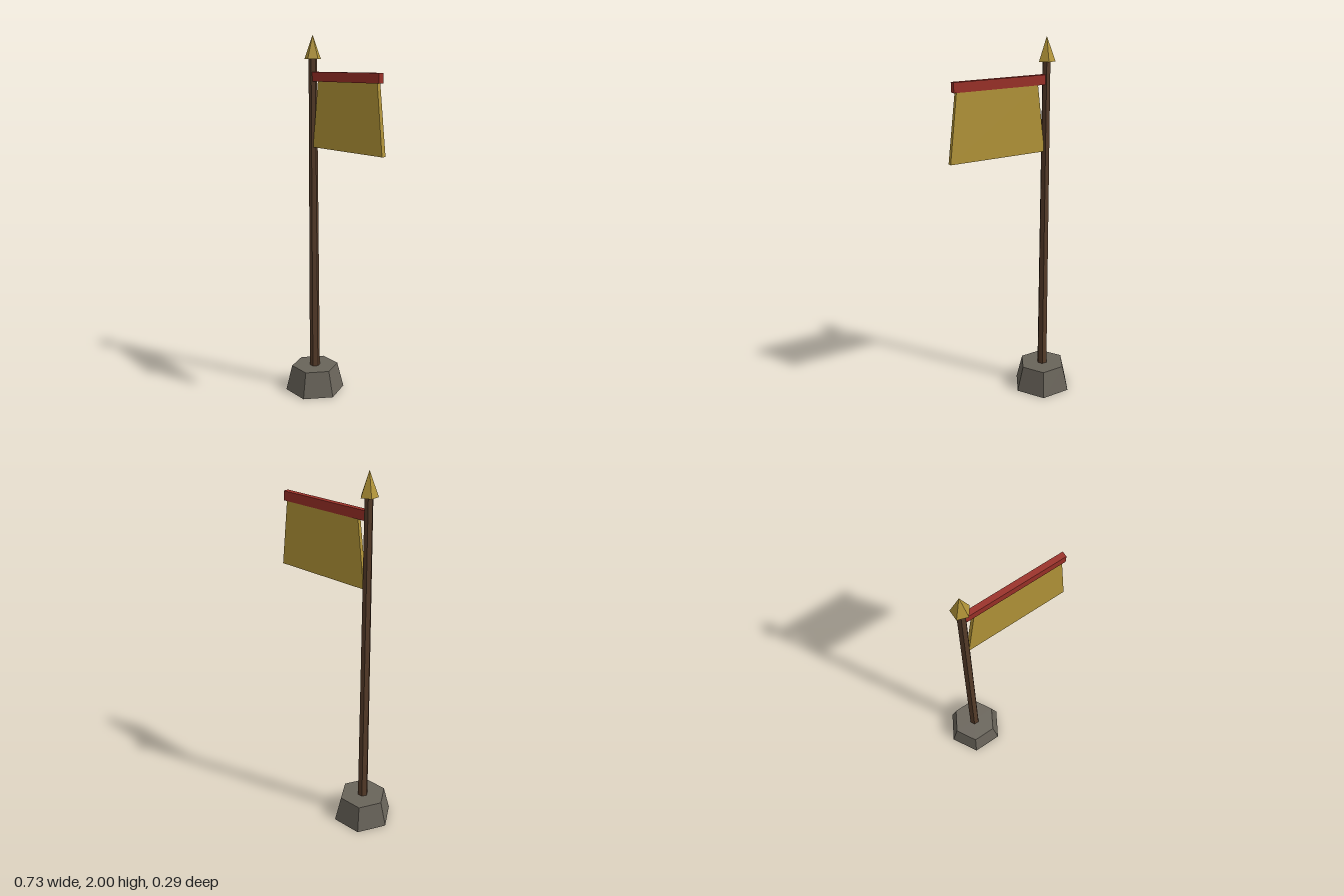
import * as THREE from 'three';

const material = (name, color) => {
  const m = new THREE.MeshStandardMaterial({ color, flatShading: true });
  m.name = name;
  return m;
};

export function createModel() {
  const model = new THREE.Group();
  model.name = 'bannerPole';
  const stone = material('grey stone', 0x69645a);
  const wood = material('dark wood', 0x573d2a);
  const gold = material('gold', 0xb39538);
  const red = material('red', 0x9b3027);
  const poleX = -0.2;

  const add = (name, geometry, mat, x, y) => {
    const mesh = new THREE.Mesh(geometry, mat);
    mesh.name = name;
    mesh.position.set(x, y, 0);
    model.add(mesh);
    return mesh;
  };

  // Faceted prism between two heights, with a corner pointing along +x
  const prism = (name, sides, rTop, rBottom, y0, y1, mat) => add(name,
    new THREE.CylinderGeometry(rTop, rBottom, y1 - y0, sides, 1, false, Math.PI / 2),
    mat, poleX, (y0 + y1) / 2);

  prism('base', 6, 0.132, 0.168, 0, 0.145, stone);
  prism('pole', 6, 0.022, 0.029, 0.13, 1.88, wood);
  prism('finial', 5, 0, 0.046, 1.875, 2, gold);

  // Crossbar reaching out from the pole
  add('crossbar', new THREE.BoxGeometry(0.53, 0.05, 0.029), red, 0.075, 1.785);

  // Cloth panel, narrower and thinner at the top
  const cloth = new THREE.BoxGeometry(0.553, 0.35, 0.023);
  const p = cloth.attributes.position;
  for (let i = 0; i < p.count; i++) {
    if (p.getY(i) > 0) {
      p.setX(i, p.getX(i) * 0.845);
      p.setZ(i, p.getZ(i) * 0.845);
    }
  }
  cloth.computeVertexNormals();
  add('banner', cloth, gold, 0.09, 1.586);

  return model;
}
